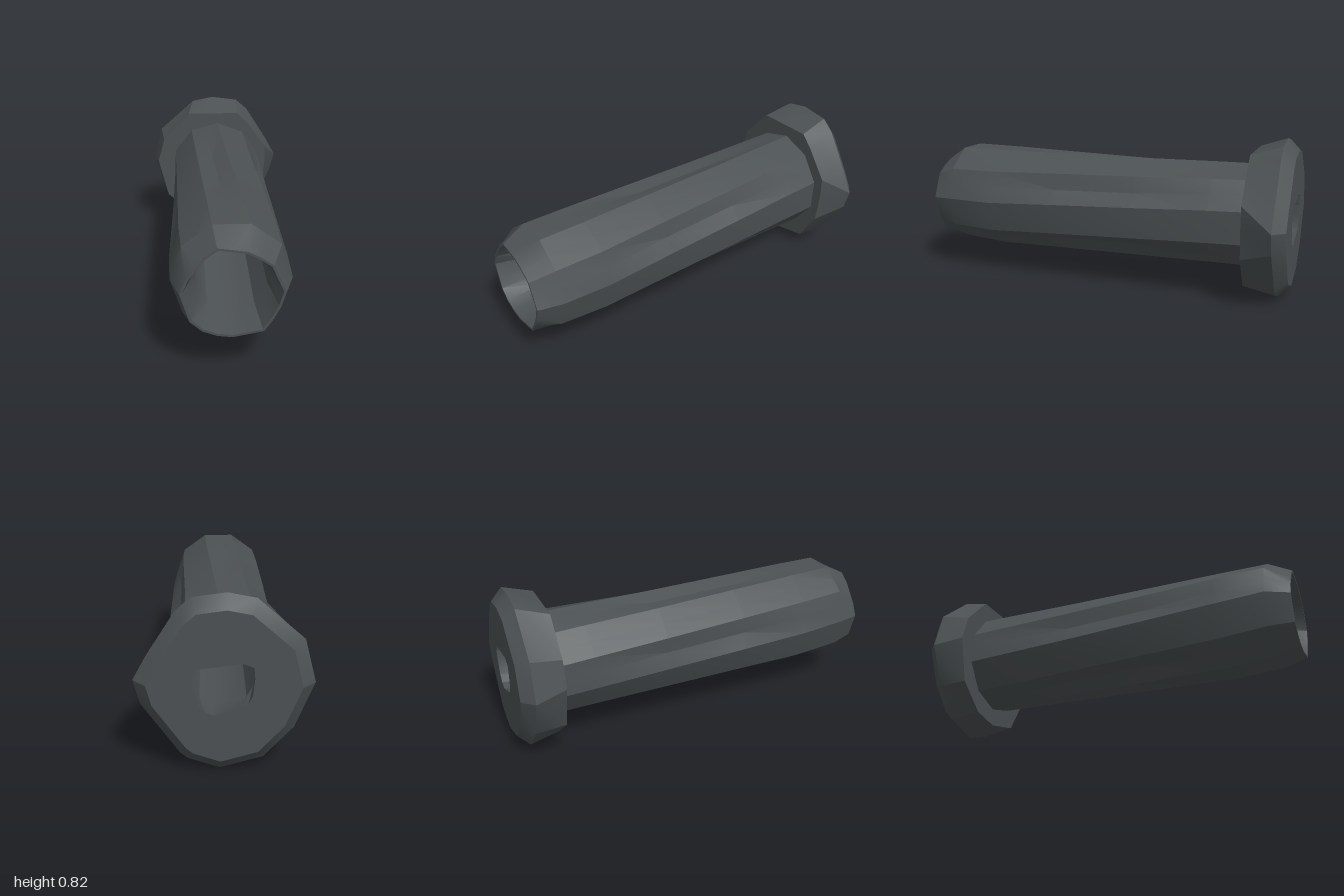
import * as THREE from 'three';
import { toCreasedNormals } from 'three/addons/utils/BufferGeometryUtils.js';

const CY = 0.415; // height of the long axis

// Skin between rings of [x, y, z]; front-to-back order faces outward, reversed faces inward.
function loft(rings) {
  const n = rings[0].length, index = [];
  for (let i = 0; i < rings.length - 1; i++) {
    for (let j = 0; j < n; j++) {
      const k = (j + 1) % n, a = i * n + j, b = i * n + k, c = a + n, d = b + n;
      index.push(a, c, b, b, c, d);
    }
  }
  const g = new THREE.BufferGeometry();
  g.setAttribute('position', new THREE.Float32BufferAttribute(rings.flat(2), 3));
  g.setIndex(index);
  return toCreasedNormals(g, 0.45);
}

// Flat ring between two outlines, facing +z or -z.
function annulus(outer, inner, z, back = false) {
  const s = back ? -1 : 1;
  const pts = (list) => list.map(([x, y]) => new THREE.Vector2(s * x, y));
  const shape = new THREE.Shape(pts(outer));
  shape.holes.push(new THREE.Path(pts(inner)));
  const g = new THREE.ShapeGeometry(shape);
  if (back) g.rotateY(Math.PI);
  return g.translate(0, 0, z);
}

const scaled = (list, f) => list.map(([x, y]) => [x * f, y * f]);
const atZ = (list, z, dy = 0) => list.map(([x, y]) => [x, y + dy, z]);

// Points of a convex outline lying in the directions of the given ring's points
function project(outline, ring) {
  return ring.map(([dx, dy]) => {
    let t = Infinity;
    outline.forEach(([ax, ay], i) => {
      const [bx, by] = outline[(i + 1) % outline.length];
      const nx = by - ay, ny = ax - bx, along = nx * dx + ny * dy;
      if (along > 0) t = Math.min(t, (nx * ax + ny * ay) / along);
    });
    return [dx * t, dy * t];
  });
}

// Irregular outlines about the axis, counter-clockwise seen from the front
const headOutline = [
  [-0.40, 0], [-0.31, -0.215], [-0.175, -0.36], [0.02, -0.415], [0.165, -0.365],
  [0.2, -0.335], [0.37, -0.095], [0.40, 0.015], [0.34, 0.125], [0.21, 0.33],
  [0.14, 0.39], [-0.015, 0.41], [-0.14, 0.385], [-0.35, 0.2],
];
const headFront = [
  [-0.37, 0.03], [-0.31, -0.205], [-0.155, -0.335], [0, -0.365], [0.16, -0.33],
  [0.2, -0.32], [0.3, -0.155], [0.32, 0.01], [0.32, 0.12], [0.2, 0.28],
  [0.14, 0.34], [-0.015, 0.34], [-0.17, 0.34], [-0.33, 0.17],
];
const backHole = [
  [-0.135, 0.075], [-0.12, -0.055], [-0.1, -0.08], [0.06, -0.135],
  [0.11, -0.095], [0.145, 0.035], [0.12, 0.085], [-0.115, 0.115],
];
const tip = [
  [-0.24, 0.02], [-0.18, -0.17], [-0.03, -0.225], [0.15, -0.19],
  [0.24, -0.015], [0.17, 0.14], [0.06, 0.195], [-0.09, 0.215],
];
const boreOutline = [
  [-0.172, 0.04], [-0.155, -0.07], [-0.1, -0.165], [0, -0.175], [0.1, -0.17],
  [0.17, -0.06], [0.165, 0.05], [0.12, 0.13], [0, 0.15], [-0.11, 0.145],
];

// Ten-sided shaft section, with shallow grooves in alternate faces
function shaftRing(r, twist, groove) {
  const ring = [];
  for (let j = 0; j < 20; j++) {
    const a = (j / 20) * Math.PI * 2 + twist;
    let rad = r;
    if (j % 2) rad = r * Math.cos(Math.PI / 10) - (j % 4 === 1 ? groove : 0);
    ring.push([Math.cos(a) * rad, Math.sin(a) * rad]);
  }
  return ring;
}

export function createModel() {
  const group = new THREE.Group();
  const metal = new THREE.MeshStandardMaterial({ color: 0x4c5153 });
  metal.name = 'dark steel';
  const add = (name, geometry) => {
    const mesh = new THREE.Mesh(geometry, metal);
    mesh.name = name;
    mesh.position.y = CY;
    group.add(mesh);
  };

  // Shaft: z, radius, twist, groove depth, vertical offset
  const sections = [
    [0.88, 0.275, 0, 0, 0.01], [0.63, 0.283, 0.03, 0, 0],
    [0.25, 0.278, 0.1, 0.02, 0], [-0.2, 0.274, 0.18, 0.02, 0],
    [-0.6, 0.274, 0.25, 0, 0.002], [-0.79, 0.274, 0.28, 0, 0.002],
  ];
  const directions = shaftRing(1, 0, 0);
  const tipRing = project(tip, directions);
  add('shaft', loft([
    atZ(tipRing, 1),
    ...sections.map(([z, r, t, g, dy]) => atZ(shaftRing(r, t, g), z, dy)),
  ]));

  // Thin front rim, funnel mouth and bore narrowing at the back
  const mouth = scaled(tipRing, 0.95);
  const bore = project(boreOutline, directions);
  const holeRing = project(backHole, directions);
  add('frontRim', annulus(tipRing, mouth, 1));
  add('bore', loft([
    atZ(holeRing, -1),
    atZ(bore, -0.75),
    atZ(bore, 0.8),
    atZ(mouth, 1),
  ]));

  // Bevelled head, widest near the back
  const headBack = scaled(headOutline, 0.85);
  add('headSide', loft([
    atZ(headFront, -0.78),
    atZ(headOutline, -0.94),
    atZ(headBack, -1),
  ]));
  add('headFront', annulus(headFront, shaftRing(0.25, 0.28, 0), -0.78));
  add('headBack', annulus(headBack, holeRing, -1, true));

  return group;
}
